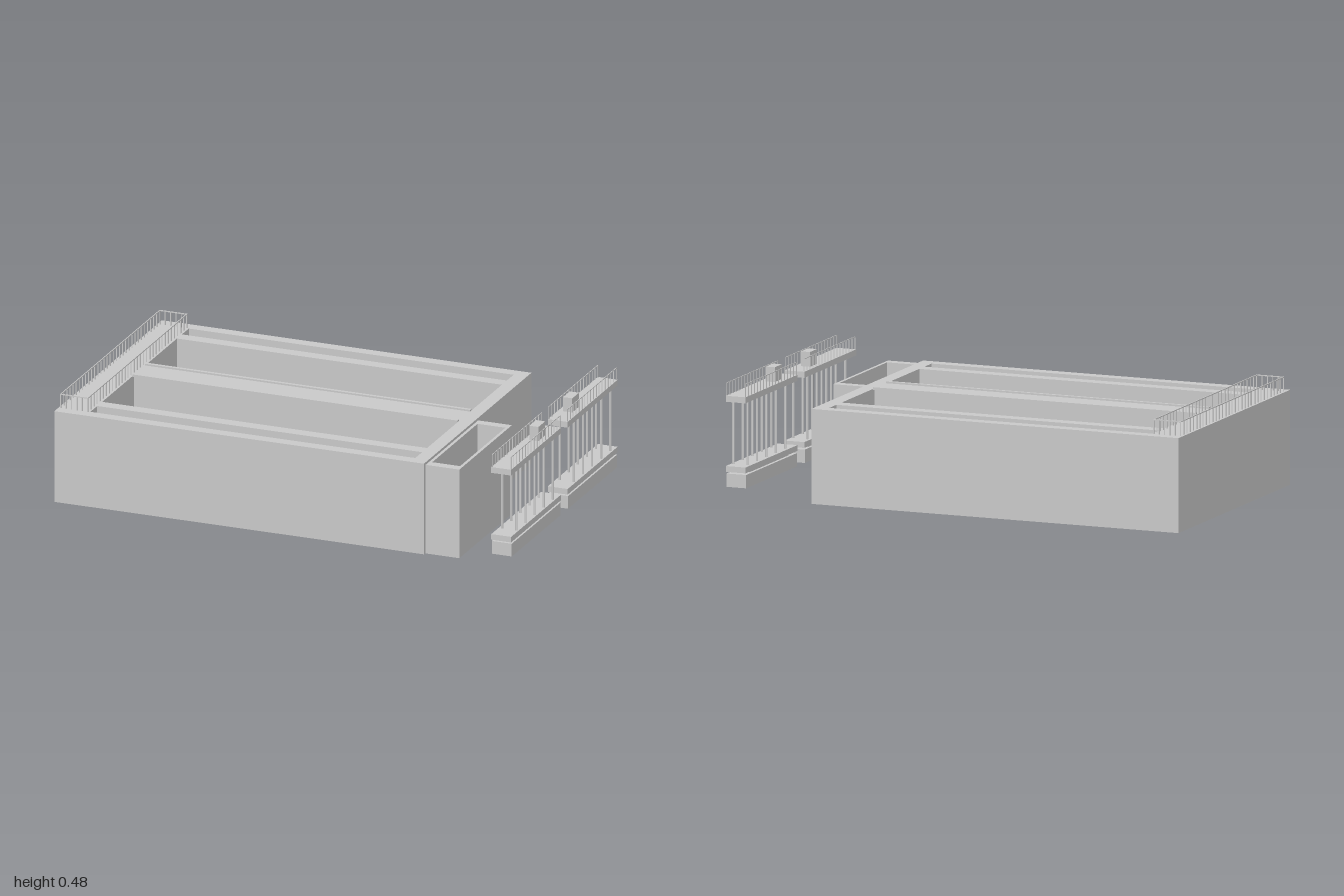
import * as THREE from 'three';

const mat = new THREE.MeshStandardMaterial({ color: 0xcccccc, side: THREE.DoubleSide, flatShading: true });

function add(parent, geometry, name) {
  const mesh = new THREE.Mesh(geometry, mat);
  mesh.name = name;
  parent.add(mesh);
  return mesh;
}

// Box given by its limits on each axis; faces listed in skip are left open
// (order: +x, -x, +y, -y, +z, -z)
function block(parent, name, [x0, x1], [y0, y1], [z0, z1], skip = []) {
  const g = new THREE.BoxGeometry(x1 - x0, y1 - y0, z1 - z0);
  if (skip.length) {
    g.setIndex(Array.from(g.index.array).filter((_, i) => !skip.includes(Math.floor(i / 6))));
    g.clearGroups();
  }
  g.translate((x0 + x1) / 2, (y0 + y1) / 2, (z0 + z1) / 2);
  return add(parent, g, name);
}

// Hollow tank: outer walls open below, a pierced deck and basins hung from it
function tank(name, xs, zs, height, basins) {
  const group = new THREE.Group();
  group.name = name;
  block(group, 'outerWalls', xs, [0, height], zs, [2, 3]);

  const rect = (shape, [x0, x1], [z0, z1]) => {
    shape.moveTo(x0, -z0).lineTo(x1, -z0).lineTo(x1, -z1).lineTo(x0, -z1).closePath();
    return shape;
  };
  const deck = rect(new THREE.Shape(), xs, zs);
  for (const b of basins) {
    deck.holes.push(rect(new THREE.Path(), b.x, b.z));
    block(group, 'basin', b.x, [b.floor, height], b.z, [2]);
  }
  add(group, new THREE.ShapeGeometry(deck).rotateX(-Math.PI / 2).translate(0, height, 0), 'deck');
  return group;
}

// Straight railing between two points on one level
function railing(parent, [xa, za], [xb, zb], y0, y1, spaces, t) {
  const group = new THREE.Group();
  group.name = 'railing';
  const h = t / 2;
  block(group, 'topRail', [Math.min(xa, xb) - h, Math.max(xa, xb) + h], [y1 - t, y1],
    [Math.min(za, zb) - h, Math.max(za, zb) + h]);
  for (let i = 0; i <= spaces; i++) {
    const x = xa + (xb - xa) * i / spaces;
    const z = za + (zb - za) * i / spaces;
    block(group, 'railPost', [x - h, x + h], [y0, y1 - t], [z - h, z + h]);
  }
  parent.add(group);
}

// Raised service platform on a beam; side is +1 or -1 along z
function platform(side, columnStart) {
  const group = new THREE.Group();
  group.name = side > 0 ? 'frontPlatform' : 'backPlatform';
  const span = (a, b) => (side > 0 ? [a, b] : [-b, -a]);
  const xs = [0.913, 1.0];
  block(group, 'baseBeam', xs, [0.04, 0.095], span(0.04, 0.563));
  block(group, 'spacer', [0.925, 0.985], [0.095, 0.103], span(0.1, 0.5));
  block(group, 'lowerSlab', xs, [0.103, 0.127], span(0.035, 0.57));
  block(group, 'upperSlab', xs, [0.392, 0.417], span(0.035, 0.57));
  block(group, 'controlBox', [0.935, 0.975], [0.417, 0.478], span(0.145, 0.217));
  // Two rows of slim columns
  for (const x of [0.928, 0.99]) {
    for (let i = 0; i < 5; i++) {
      const column = new THREE.CylinderGeometry(0.005, 0.005, 0.265, 8);
      column.translate(x, 0.2595, columnStart + i * 0.0975);
      add(group, column, 'column');
    }
  }
  // Railings along both long edges
  for (const x of [0.916, 0.997]) {
    railing(group, [x, side * 0.04], [x, side * 0.565], 0.417, 0.471, 17, 0.003);
  }
  return group;
}

export function createModel() {
  const model = new THREE.Group();
  model.name = 'treatmentTanks';
  const top = 0.392;

  // Main tank: a wide and a narrow basin on each side of the middle wall
  const basins = [];
  for (const [a, b] of [[0.06, 0.4], [0.453, 0.526]]) {
    basins.push({ x: [-0.862, 0.562], z: [a, b], floor: 0.035 });
    basins.push({ x: [-0.862, 0.562], z: [-b, -a], floor: 0.035 });
  }
  const main = tank('mainTank', [-1, 0.62], [-0.575, 0.575], top, basins);
  for (const z of [[0.06, 0.075], [-0.075, -0.06]]) {
    block(main, 'curb', [-0.862, 0.562], [top - 0.004, top + 0.007], z);
  }
  model.add(main);

  // Small side tank
  model.add(tank('sideTank', [0.622, 0.77], [0, 0.562], 0.383,
    [{ x: [0.635, 0.757], z: [0.038, 0.523], floor: 0.1 }]));

  // Railed walkway across the end of the main tank
  const walkway = new THREE.Group();
  walkway.name = 'walkway';
  const [x0, x1, z1] = [-0.99, -0.872, 0.53];
  for (const x of [x0, x1]) railing(walkway, [x, -z1], [x, z1], top, 0.453, 32, 0.004);
  for (const z of [-z1, z1]) railing(walkway, [x0, z], [x1, z], top, 0.453, 5, 0.004);
  model.add(walkway);

  model.add(platform(1, 0.1), platform(-1, -0.515));
  return model;
}
